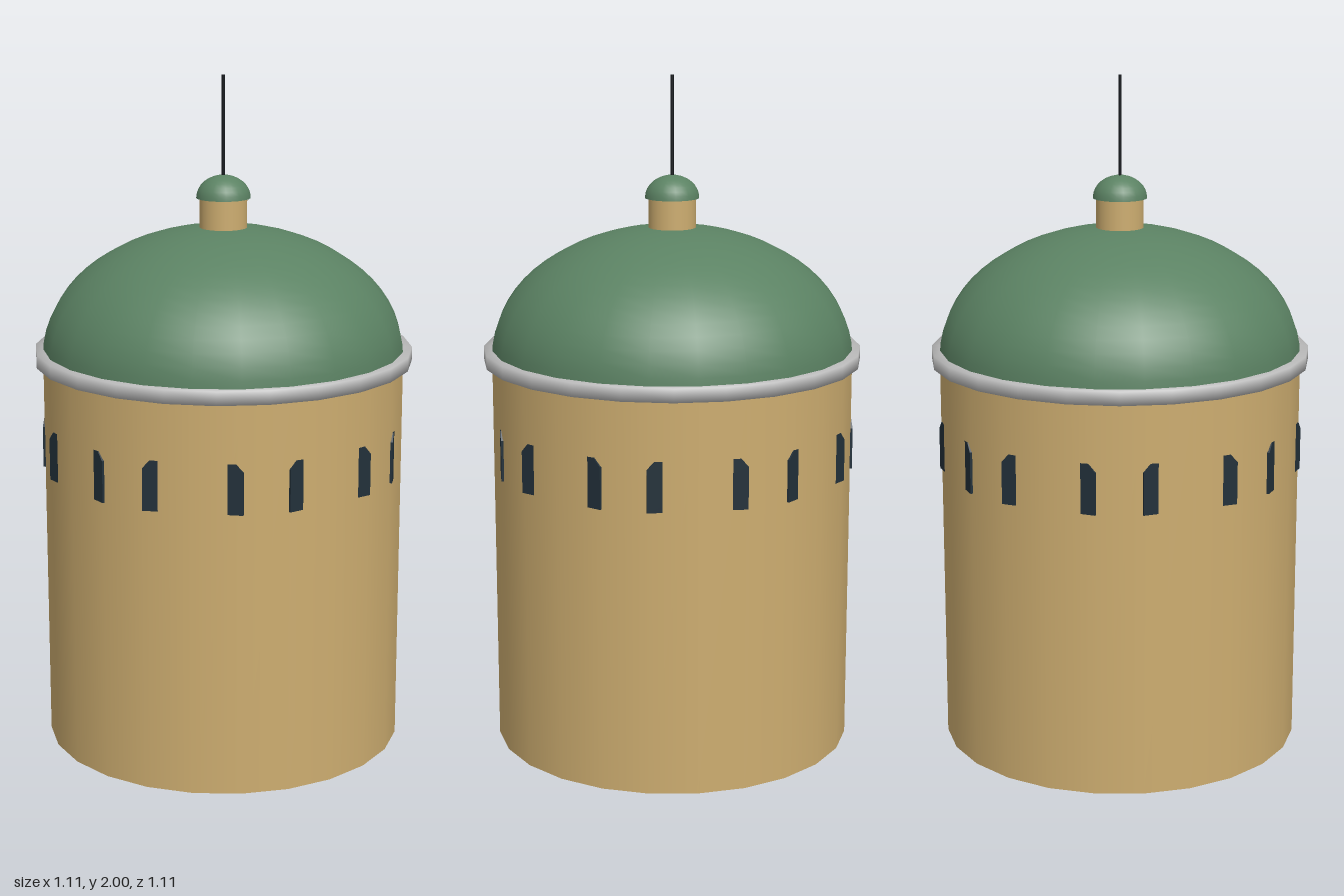
import * as THREE from 'three';

const SIDES = 24;
const R = 0.535;

export function createModel() {
  const group = new THREE.Group();
  const material = (name, color, side = THREE.FrontSide) => {
    const m = new THREE.MeshStandardMaterial({ color, side });
    m.name = name;
    return m;
  };
  const stone = material('sandstone', 0xcdad70, THREE.DoubleSide);
  const green = material('domeGreen', 0x5b8263, THREE.DoubleSide);
  const grey = material('corniceGrey', 0xbcbcbc);
  const dark = material('windowDark', 0x22303a);
  const black = material('spireBlack', 0x14181c);

  const add = (name, geometry, mat, y = 0) => {
    const mesh = new THREE.Mesh(geometry, mat);
    mesh.name = name;
    mesh.position.y = y;
    group.add(mesh);
    return mesh;
  };

  // Half-ellipsoid shell, open at the base
  const dome = (radius, height, rows) => {
    const points = [];
    for (let i = 0; i <= rows; i++) {
      const a = (i / rows) * Math.PI / 2;
      points.push(new THREE.Vector2(i === rows ? 0 : radius * Math.cos(a), height * Math.sin(a)));
    }
    return new THREE.LatheGeometry(points, SIDES);
  };

  // Hollow drum, open underneath
  add('drumWall', new THREE.CylinderGeometry(R, R, 1.18, SIDES, 1, true), stone, 0.59);

  // Cornice ring of rectangular section, turned half a facet
  const section = [[0.52, 1.16], [0.56, 1.16], [0.56, 1.2], [0.52, 1.2]]
    .map(([x, y]) => new THREE.Vector2(x, y));
  add('corniceRing', new THREE.LatheGeometry(section, SIDES, Math.PI / SIDES), grey);

  // Main dome, lantern and spire
  add('mainDome', dome(R, 0.375, 16), green, 1.185);
  add('lanternNeck', new THREE.CylinderGeometry(0.07, 0.07, 0.115, SIDES), stone, 1.5875);
  add('lanternCap', dome(0.08, 0.067, 8), green, 1.643);
  add('spire', new THREE.CylinderGeometry(0.005, 0.005, 0.3, 8), black, 1.85);

  // Flat window plates: only their outer edges emerge from the curved wall
  const outline = new THREE.Shape([
    [-0.143, 0.84], [0.143, 0.84], [0.143, 0.963], [0.122, 0.987], [-0.122, 0.987], [-0.143, 0.963],
  ].map(([x, y]) => new THREE.Vector2(x, y)));
  const plate = new THREE.ExtrudeGeometry(outline, { depth: 0.009, bevelEnabled: false });
  plate.translate(0, 0, 0.513);
  for (let i = 0; i < 8; i++) {
    add('windowPlate', plate, dark).rotation.y = i * Math.PI / 4;
  }

  return group;
}
